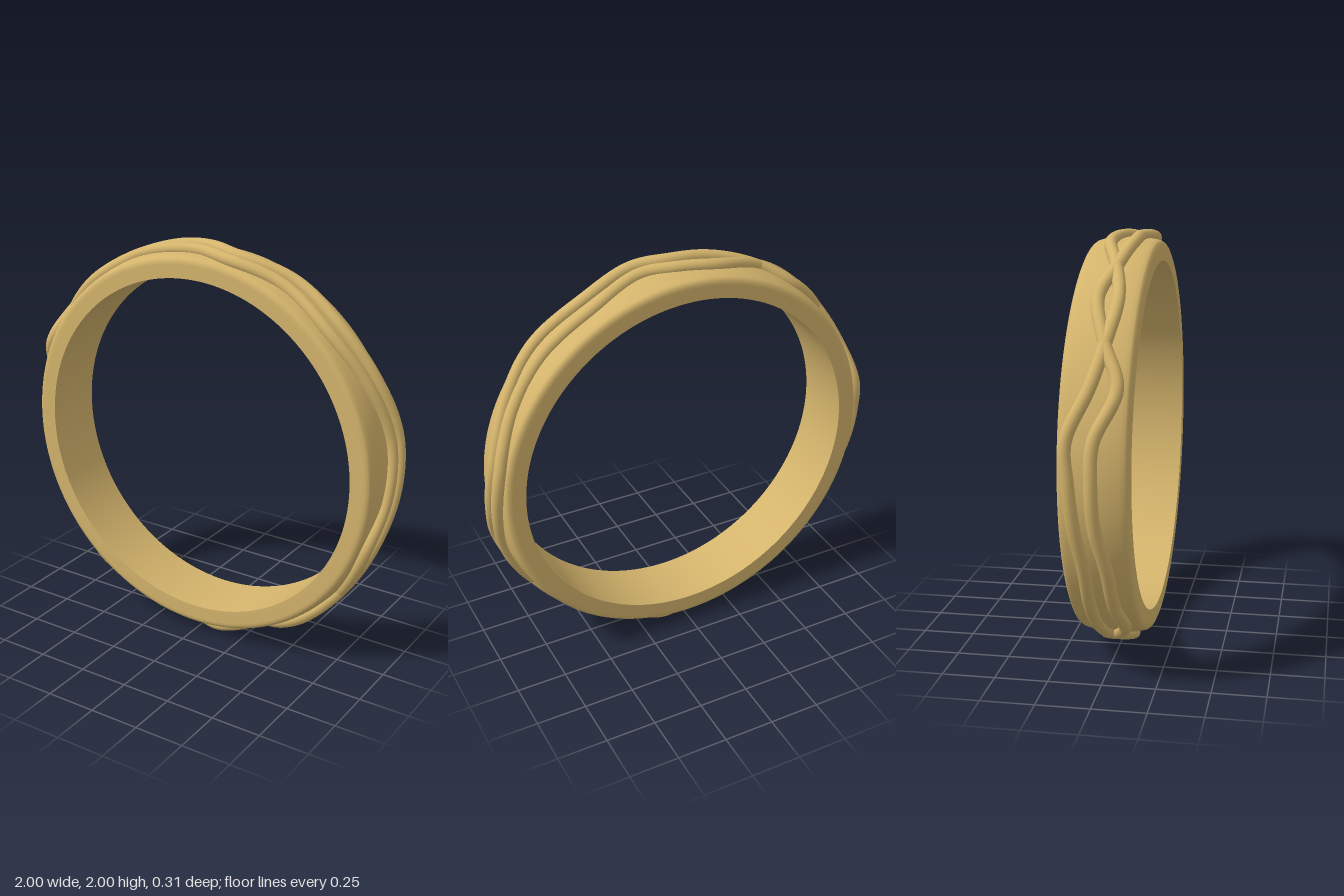
import * as THREE from 'three';

// Strand course around the band: [angle in degrees from +x, z of strand one, z of strand two]
const COURSE = [
  [-5, -0.08, 0.01], [8, -0.115, -0.035], [17, -0.105, -0.025], [30, -0.06, 0.03],
  [45, -0.03, 0.08], [63, -0.04, 0.06], [79, 0.015, 0.1], [90, -0.03, 0.065],
  [102, -0.05, 0.055], [117, 0.02, 0.02], [130, 0.06, -0.03], [144, 0.03, 0.03],
  [156, -0.02, 0.1], [169, -0.11, 0.01], [180, -0.1, 0], [192, -0.08, 0.01],
  [205, -0.05, 0.05], [220, -0.05, 0.06], [234, -0.04, 0.08], [246, 0, 0],
  [255, 0.07, -0.07], [264, 0, 0], [277, -0.08, 0.08], [290, -0.01, -0.01],
  [300, 0.06, -0.01], [310, 0.09, 0.01], [323, 0.05, 0.05], [341, -0.01, 0.095],
];

const RADIUS = 0.97;
const TUBE = 0.03;

// Closed tube that follows one column of the course on the band's surface
function strand(column, material) {
  const n = COURSE.length;
  const flat = [];
  for (let i = -2; i < n + 3; i++) {
    const row = COURSE[(i + n) % n];
    const turn = Math.floor(i / n) * 360;
    flat.push(new THREE.Vector2(row[0] + turn, row[column]));
  }
  const spline = new THREE.SplineCurve(flat);
  const samples = 224;
  const points = [];
  for (let i = 0; i < samples; i++) {
    const p = spline.getPoint((2 + (i / samples) * n) / (flat.length - 1));
    const a = THREE.MathUtils.degToRad(p.x);
    points.push(new THREE.Vector3(Math.cos(a) * RADIUS, Math.sin(a) * RADIUS, p.y));
  }
  const path = new THREE.CatmullRomCurve3(points, true);
  return new THREE.Mesh(new THREE.TubeGeometry(path, 360, TUBE, 14, true), material);
}

export function createModel() {
  const gold = new THREE.MeshStandardMaterial({ color: 0xd4b46c });
  gold.name = 'gold';

  const ring = new THREE.Group();
  ring.name = 'ring';

  // Lathe turned so its axis runs along z
  const turned = (pairs, name) => {
    const geometry = new THREE.LatheGeometry(pairs.map(([r, z]) => new THREE.Vector2(r, z)), 160);
    geometry.rotateX(Math.PI / 2);
    const mesh = new THREE.Mesh(geometry, gold);
    mesh.name = name;
    ring.add(mesh);
  };

  // Outer band: flat sides, rounded shoulders, slightly domed outside
  const half = [[0.85, 0.155], [0.915, 0.155], [0.928, 0.154], [0.94, 0.149], [0.947, 0.14],
    [0.953, 0.12], [0.96, 0.08], [0.964, 0.04]];
  turned([
    ...half.map(([r, z]) => [r, -z]),
    [0.965, 0],
    ...half.slice().reverse(),
  ], 'outerBand');

  // Inner wall, separate so its rim stays sharp
  turned([[0.85, 0.155], [0.85, -0.155]], 'innerWall');

  // Two entwined strands
  ['firstStrand', 'secondStrand'].forEach((name, i) => {
    const mesh = strand(i + 1, gold);
    mesh.name = name;
    ring.add(mesh);
  });

  ring.position.y = 1;
  const model = new THREE.Group();
  model.name = 'bandRing';
  model.add(ring);
  return model;
}
